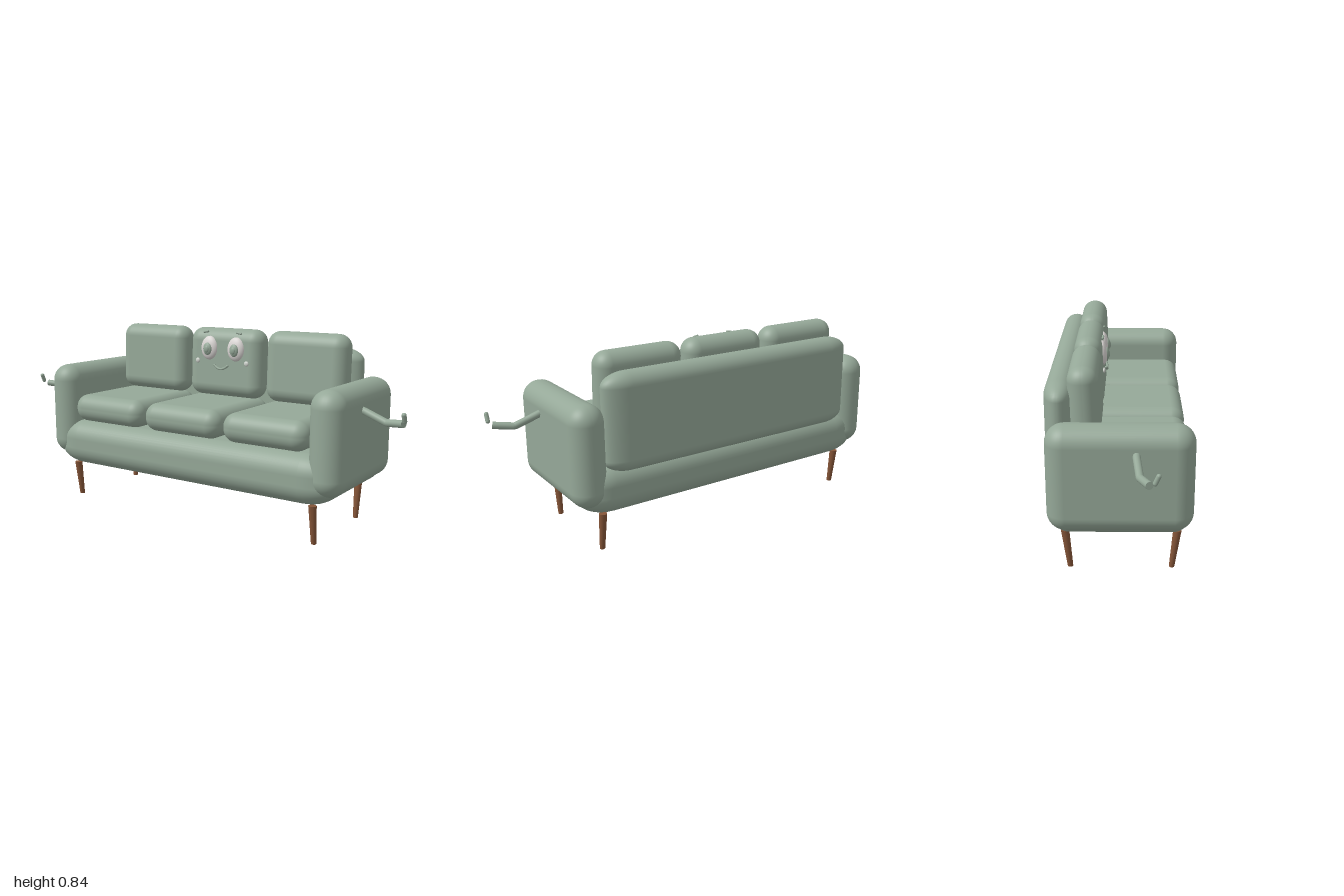
import * as THREE from 'three';
import { RoundedBoxGeometry } from 'three/addons/geometries/RoundedBoxGeometry.js';

const material = (name, color) => {
  const m = new THREE.MeshStandardMaterial({ color });
  m.name = name;
  return m;
};

export function createModel() {
  const sage = material('sage fabric', 0x95a898);
  const wood = material('brown wood', 0x855538);
  const white = material('eye white', 0xd9d5d3);
  const pale = material('pale cheek', 0xcfd3cd);

  const model = new THREE.Group();
  model.name = 'sofa';

  const add = (name, geometry, mat, parent = model) => {
    const mesh = new THREE.Mesh(geometry, mat);
    mesh.name = name;
    parent.add(mesh);
    return mesh;
  };

  // Padded block given by its extents; stretch widens the rounding along x
  const pad = (name, [x0, x1], [y0, y1], [z0, z1], radius, stretch = 1, segments = 5) => {
    const g = new RoundedBoxGeometry((x1 - x0) / stretch, y1 - y0, z1 - z0, segments, radius);
    g.scale(stretch, 1, 1);
    const mesh = add(name, g, sage);
    mesh.position.set((x0 + x1) / 2, (y0 + y1) / 2, (z0 + z1) / 2);
    return mesh;
  };

  const ball = (name, mat, [x, y, z], [rx, ry, rz], parent) => {
    const mesh = add(name, new THREE.SphereGeometry(1, 24, 16), mat, parent);
    mesh.scale.set(rx, ry, rz);
    mesh.position.set(x, y, z);
    return mesh;
  };

  // Capsule between two points
  const rod = (name, a, b, r, parent) => {
    const p = new THREE.Vector3(...a), q = new THREE.Vector3(...b);
    const dir = q.clone().sub(p);
    const mesh = add(name, new THREE.CapsuleGeometry(r, dir.length(), 4, 12), sage, parent);
    mesh.position.copy(p).add(q).multiplyScalar(0.5);
    mesh.quaternion.setFromUnitVectors(new THREE.Vector3(0, 1, 0), dir.normalize());
    return mesh;
  };

  // Body
  pad('base', [-0.76, 0.76], [0.17, 0.385], [-0.283, 0.3], 0.085, 1.75);
  pad('backrest', [-0.652, 0.652], [0.35, 0.775], [-0.3, -0.18], 0.059, 2);
  pad('leftArmrest', [0.635, 0.79], [0.213, 0.656], [-0.285, 0.297], 0.076);
  pad('rightArmrest', [-0.79, -0.635], [0.213, 0.656], [-0.285, 0.297], 0.076);

  // Three seat and back cushions
  for (const x of [-0.43, 0, 0.428]) {
    pad('seatCushion', [x - 0.206, x + 0.206], [0.388, 0.518], [-0.2, 0.288], 0.06);
    const back = pad('backCushion', [x - 0.203, x + 0.203], [0.515, 0.842], [-0.201, -0.077], 0.06);
    back.rotation.x = -0.04;
  }

  // Tapered, splayed legs
  for (const x of [-0.655, 0.655]) {
    for (const [zTop, zBottom] of [[0.238, 0.218], [-0.22, -0.201]]) {
      const g = new THREE.CylinderGeometry(0.0175, 0.0115, 0.17, 16);
      const pos = g.attributes.position;
      for (let i = 0; i < pos.count; i++) {
        const t = (pos.getY(i) + 0.085) / 0.17;
        pos.setZ(i, pos.getZ(i) + zBottom + (zTop - zBottom) * t);
      }
      g.computeVertexNormals();
      add('leg', g, wood).position.set(x, 0.086, 0);
    }
  }

  // Thin bent limbs with a separate floating thumb
  for (const s of [1, -1]) {
    const limb = new THREE.Group();
    limb.name = s > 0 ? 'leftLimb' : 'rightLimb';
    model.add(limb);
    const path = new THREE.CurvePath();
    const points = [[0.77, 0.562, 0.068], [0.8, 0.552, 0.069], [0.895, 0.518, 0.08], [0.978, 0.528, 0.113]]
      .map(([x, y, z]) => new THREE.Vector3(s * x, y, z));
    for (let i = 0; i < 3; i++) path.add(new THREE.LineCurve3(points[i], points[i + 1]));
    add('forearm', new THREE.TubeGeometry(path, 24, 0.0155, 12, false), sage, limb);
    // Closed wrist end
    const end = add('wrist', new THREE.CircleGeometry(0.0155, 12), sage, limb);
    end.position.copy(points[3]);
    end.lookAt(points[3].clone().multiplyScalar(2).sub(points[2]));
    rod('thumb', [s * 0.989, 0.542, 0.133], [s * 0.989, 0.57, 0.145], 0.0095, limb);
  }

  // Face on the middle cushion
  const face = new THREE.Group();
  face.name = 'face';
  model.add(face);
  for (const s of [1, -1]) {
    const x = s * 0.075;
    ball('eyeWhite', white, [x, 0.749, -0.083], [0.046, 0.057, 0.024], face).rotation.x = -0.06;
    ball('iris', sage, [x, 0.745, -0.064], [0.024, 0.03, 0.013], face);
    ball('pupil', sage, [x, 0.745, -0.055], [0.013, 0.017, 0.007], face);
    rod('eyebrow', [s * 0.082, 0.828, -0.079], [s * 0.104, 0.824, -0.079], 0.0055, face);
    ball('cheek', pale, [s * 0.138, 0.686, -0.073], [0.012, 0.012, 0.006], face);
  }
  const smile = new THREE.QuadraticBezierCurve3(
    new THREE.Vector3(-0.036, 0.669, -0.067),
    new THREE.Vector3(0, 0.637, -0.058),
    new THREE.Vector3(0.036, 0.669, -0.067));
  add('smile', new THREE.TubeGeometry(smile, 20, 0.0055, 8, false), sage, face);
  for (const p of [smile.v0, smile.v2]) ball('smileEnd', sage, p.toArray(), [0.006, 0.006, 0.006], face);

  return model;
}
